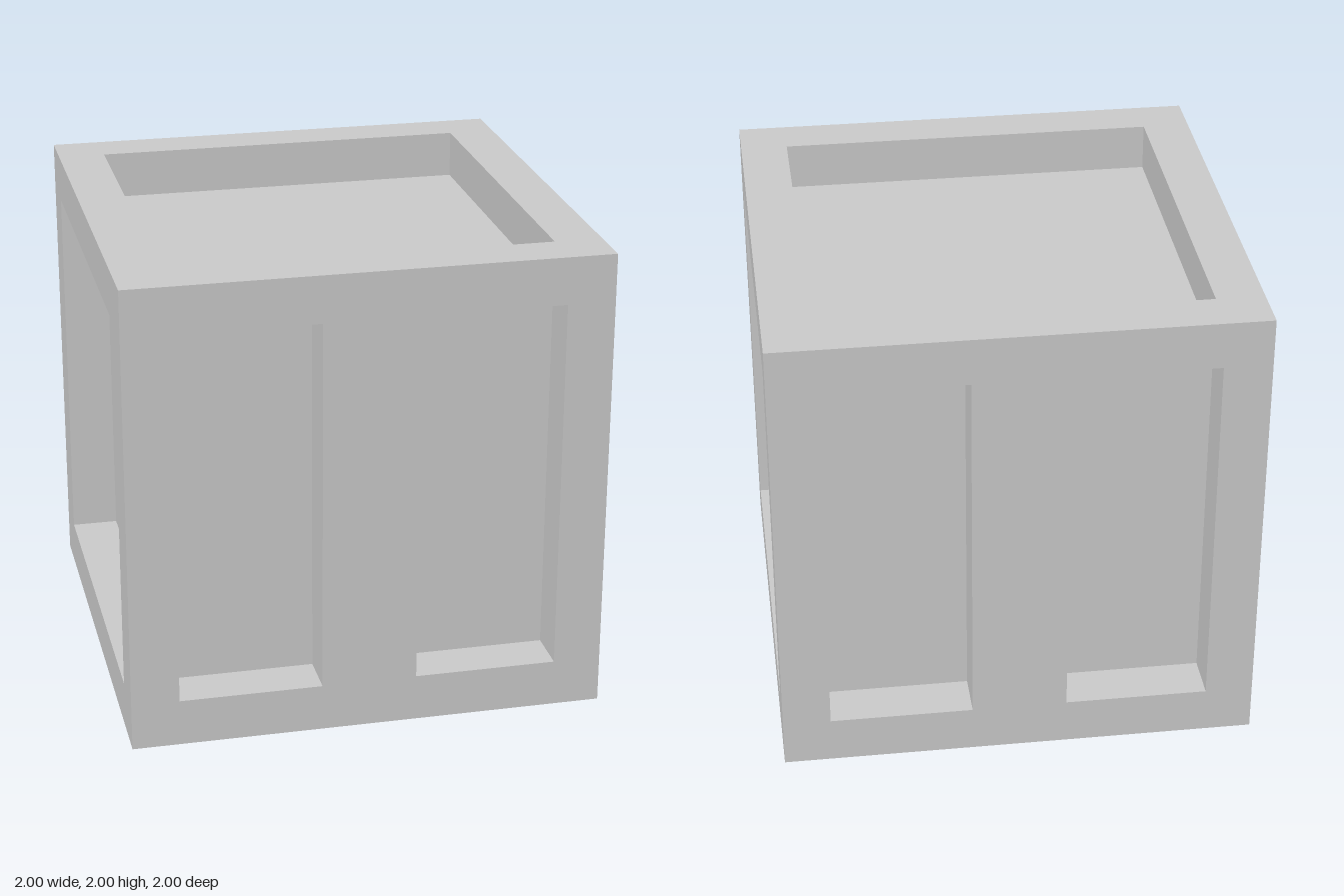
import * as THREE from 'three';
import { mergeGeometries } from 'three/addons/utils/BufferGeometryUtils.js';

const HALF = 1;     // half the cube's side
const DEPTH = 0.2;  // depth of every recess
const RIM = 0.8;    // outer limit of the recesses

// One cube face looking along +z, with recesses given as [x0, x1]
function recessedFace(spans) {
  const shape = new THREE.Shape();
  shape.moveTo(-HALF, -HALF).lineTo(HALF, -HALF).lineTo(HALF, HALF).lineTo(-HALF, HALF).closePath();
  const parts = [];
  const h = 2 * RIM, mid = HALF - DEPTH / 2;

  for (const [x0, x1] of spans) {
    const hole = new THREE.Path();
    hole.moveTo(x0, -RIM).lineTo(x0, RIM).lineTo(x1, RIM).lineTo(x1, -RIM).closePath();
    shape.holes.push(hole);

    const w = x1 - x0, cx = (x0 + x1) / 2;
    parts.push(
      // recess floor
      new THREE.PlaneGeometry(w, h).translate(cx, 0, HALF - DEPTH),
      // lower, upper, left and right recess walls
      new THREE.PlaneGeometry(w, DEPTH).rotateX(-Math.PI / 2).translate(cx, -RIM, mid),
      new THREE.PlaneGeometry(w, DEPTH).rotateX(Math.PI / 2).translate(cx, RIM, mid),
      new THREE.PlaneGeometry(DEPTH, h).rotateY(Math.PI / 2).translate(x0, 0, mid),
      new THREE.PlaneGeometry(DEPTH, h).rotateY(-Math.PI / 2).translate(x1, 0, mid),
    );
  }
  parts.push(new THREE.ShapeGeometry(shape).translate(0, 0, HALF));
  return mergeGeometries(parts);
}

export function createModel() {
  const group = new THREE.Group();
  group.name = 'crate';
  const material = new THREE.MeshStandardMaterial({ color: 0xcccccc, flatShading: true });

  const single = recessedFace([[-RIM, RIM]]);
  const double = recessedFace([[-RIM, -0.2], [0.2, RIM]]); // centre post between two recesses

  // name, geometry, rotation about x, rotation about y
  const faces = [
    ['frontPanel', double, 0, 0],
    ['backPanel', double, 0, Math.PI],
    ['leftPanel', single, 0, Math.PI / 2],
    ['rightPanel', single, 0, -Math.PI / 2],
    ['topPanel', single, -Math.PI / 2, 0],
    ['bottomPanel', single, Math.PI / 2, 0],
  ];
  for (const [name, geometry, rx, ry] of faces) {
    const mesh = new THREE.Mesh(geometry, material);
    mesh.name = name;
    mesh.rotation.set(rx, ry, 0);
    mesh.position.y = HALF;
    group.add(mesh);
  }
  return group;
}
